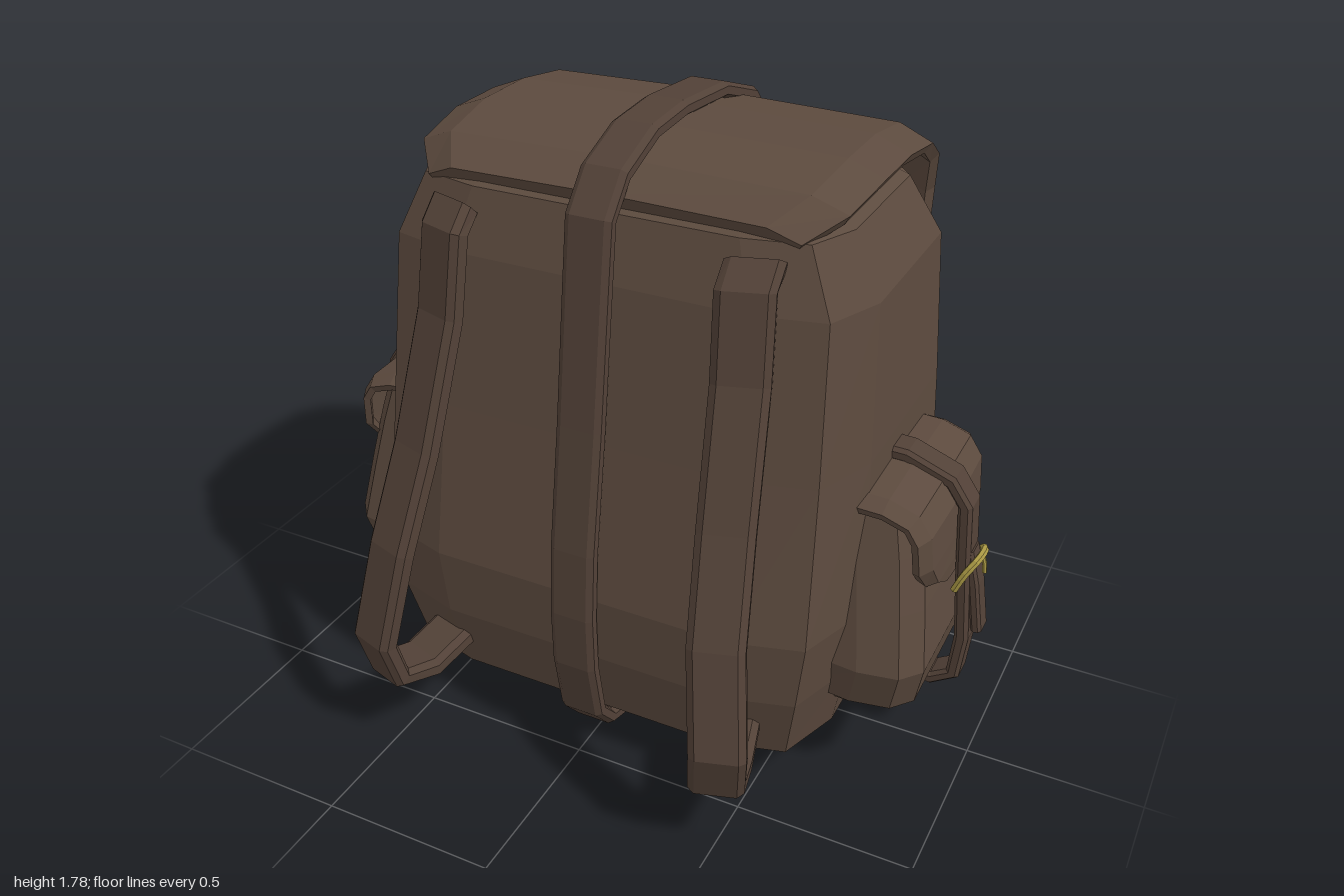
import * as THREE from 'three';

const canvas = new THREE.MeshStandardMaterial({ color: 0x5c4a3e });
canvas.name = 'brown canvas';
const leather = new THREE.MeshStandardMaterial({ color: 0x524137 });
leather.name = 'dark leather';
const brass = new THREE.MeshStandardMaterial({ color: 0xab9a45 });
brass.name = 'brass';

const V = (x, y, z) => new THREE.Vector3(x, y, z);

// Faceted skin through rings of equal point count, capped or joined into a loop
function loft(rings, closed = false) {
  const n = rings[0].length, m = rings.length;
  const pts = rings.flat();
  const tris = [];
  for (let i = 0; i < (closed ? m : m - 1); i++) {
    const a = i * n, b = ((i + 1) % m) * n;
    for (let j = 0; j < n; j++) {
      const k = (j + 1) % n;
      tris.push([a + j, a + k, b + k], [a + j, b + k, b + j]);
    }
  }
  if (!closed) {
    const e = (m - 1) * n;
    for (let j = 1; j < n - 1; j++) tris.push([0, j + 1, j], [e, e + j, e + j + 1]);
  }
  // Turn the skin outward whichever way the rings run
  const cross = V(0, 0, 0);
  let volume = 0;
  for (const [a, b, c] of tris) volume += pts[a].dot(cross.crossVectors(pts[b], pts[c]));
  const index = tris.flatMap(([a, b, c]) => (volume < 0 ? [a, c, b] : [a, b, c]));
  const indexed = new THREE.BufferGeometry().setFromPoints(pts);
  indexed.setIndex(index);
  const geometry = indexed.toNonIndexed();
  geometry.computeVertexNormals();
  return geometry;
}

// Carry a [sideways, outward] profile along a path; outward points away from centre
function sweep(path, side, centre, profile, closed = false) {
  const m = path.length;
  return loft(path.map((p, i) => {
    const prev = path[closed ? (i + m - 1) % m : Math.max(i - 1, 0)];
    const next = path[closed ? (i + 1) % m : Math.min(i + 1, m - 1)];
    const out = next.clone().sub(prev).cross(side).normalize();
    if (out.dot(p.clone().sub(centre)) < 0) out.negate();
    return profile(i).map(([s, o]) => p.clone().addScaledVector(side, s).addScaledVector(out, o));
  }), closed);
}

// Flat strap with bevelled edges
const band = (w, t) => () => [
  [-w, -t / 4], [-w * 0.75, -t / 2], [w * 0.75, -t / 2], [w, -t / 4],
  [w, t / 4], [w * 0.75, t / 2], [-w * 0.75, t / 2], [-w, t / 4],
];

// Thin flap whose side edges turn down
const flapProfile = (widths, drop, t) => (i) => {
  const w = widths[i], f = w * 0.84;
  return [[-w, -drop], [-f, -drop * 0.2], [0, 0], [f, -drop * 0.2], [w, -drop],
    [w * 0.97, -drop - t], [f, -t - drop * 0.2], [0, -t], [-f, -t - drop * 0.2], [-w * 0.97, -drop - t]];
};

function add(parent, name, geometry, material) {
  const mesh = new THREE.Mesh(geometry, material);
  mesh.name = name;
  parent.add(mesh);
  return mesh;
}

// Arched buckle with a short prong
function addBuckle(parent, name, points, prong, radius) {
  const g = new THREE.Group();
  g.name = name;
  const tube = (pts, steps, r) => {
    const geo = new THREE.TubeGeometry(new THREE.CatmullRomCurve3(pts), steps, r, 6).toNonIndexed();
    geo.computeVertexNormals();
    return geo;
  };
  add(g, 'buckleArch', tube(points, 14, radius), brass);
  add(g, 'bucklePin', tube(prong, 2, radius * 0.6), brass);
  parent.add(g);
}

export function createModel() {
  const group = new THREE.Group();
  group.name = 'backpack';
  const X = V(1, 0, 0), Z = V(0, 0, 1);
  const middle = V(0, 0.9, -0.08);

  // Main sack: [y, half width, front z, back z]
  const sack = [
    [0.06, 0.42, 0.33, -0.48], [0.14, 0.65, 0.43, -0.6], [0.35, 0.69, 0.48, -0.65],
    [0.55, 0.715, 0.49, -0.66], [1.0, 0.7, 0.42, -0.6], [1.43, 0.68, 0.36, -0.54],
    [1.6, 0.6, 0.31, -0.44], [1.65, 0.5, 0.2, -0.36],
  ].map(([y, w, f, b]) => {
    const d = f - b;
    const half = [[0.62, f], [0.9, f - 0.05 * d], [1, f - 0.23 * d],
      [1, b + 0.23 * d], [0.79, b + 0.03 * d], [0.42, b]];
    return [...half.map(([k, z]) => V(w * k, y, z)),
      ...half.slice().reverse().map(([k, z]) => V(-w * k, y, z))];
  });
  add(group, 'mainSack', loft(sack), canvas);

  // Lid flap over the top and down the back: [z, y, half width]
  const lid = [
    [0.31, 1.645, 0.52], [0.2, 1.7, 0.6], [0, 1.73, 0.62], [-0.2, 1.73, 0.62], [-0.4, 1.7, 0.62],
    [-0.53, 1.62, 0.61], [-0.6, 1.48, 0.59], [-0.62, 1.3, 0.58], [-0.628, 1.15, 0.56],
    [-0.632, 1.06, 0.5], [-0.634, 1.0, 0.36], [-0.636, 0.95, 0.16],
  ];
  add(group, 'lidFlap', sweep(lid.map(([z, y]) => V(0, y, z)), X, middle,
    flapProfile(lid.map((r) => r[2]), 0.05, 0.03)), canvas);

  // Strap right around the sack: [z, y]
  const girth = [
    [0.3, 0.045], [0.1, 0.028], [-0.28, 0.028], [-0.48, 0.065], [-0.6, 0.18], [-0.655, 0.36],
    [-0.675, 0.55], [-0.66, 0.8], [-0.65, 1.1], [-0.64, 1.42], [-0.595, 1.57], [-0.5, 1.67],
    [-0.3, 1.74], [-0.05, 1.76], [0.12, 1.75], [0.28, 1.69], [0.36, 1.6], [0.385, 1.42],
    [0.435, 1.05], [0.49, 0.7], [0.505, 0.5], [0.5, 0.33], [0.465, 0.15], [0.4, 0.075],
  ].map(([z, y]) => V(0, y, z));
  add(group, 'girthStrap', sweep(girth, X, middle, band(0.065, 0.045), true), leather);

  // Loose end and buckle on the back
  const tail = [[-0.665, 1.04], [-0.69, 0.95], [-0.71, 0.85], [-0.715, 0.74]].map(([z, y]) => V(0, y, z));
  add(group, 'girthStrapEnd', sweep(tail, X, middle, band(0.05, 0.04)), leather);
  addBuckle(group, 'backBuckle', [
    V(-0.09, 0.88, -0.615), V(-0.088, 0.97, -0.645), V(-0.055, 1.045, -0.675), V(0, 1.055, -0.68),
    V(0.055, 1.045, -0.675), V(0.088, 0.97, -0.645), V(0.09, 0.88, -0.615),
  ], [V(0, 1.05, -0.685), V(0, 1.01, -0.7), V(0, 0.96, -0.705)], 0.015);

  for (const s of [1, -1]) {
    const sideName = s > 0 ? 'left' : 'right';
    const sideGroup = new THREE.Group();
    sideGroup.name = sideName + 'Side';
    group.add(sideGroup);
    const pocketMiddle = V(s * 0.7, 0.55, -0.03);

    // Side pocket: [y, outer x, front z, back z]
    const pocket = [
      [0.23, 0.8, 0.2, -0.26], [0.3, 0.88, 0.28, -0.35], [0.43, 0.905, 0.31, -0.38],
      [0.6, 0.88, 0.27, -0.33], [0.75, 0.855, 0.235, -0.3], [0.86, 0.83, 0.21, -0.28],
      [0.9, 0.74, 0.16, -0.22],
    ].map(([y, x, f, b]) => [
      [0.55, f - 0.02], [x - 0.16, f], [x - 0.05, f - 0.02], [x, f - 0.08],
      [x, b + 0.08], [x - 0.05, b + 0.02], [x - 0.16, b], [0.55, b + 0.02],
    ].map(([px, z]) => V(s * px, y, z)));
    add(sideGroup, 'sidePocket', loft(pocket), canvas);

    // Pocket flap: [x, y, half width]
    const flap = [[0.62, 0.925, 0.27], [0.76, 0.92, 0.27], [0.845, 0.89, 0.27], [0.885, 0.83, 0.27],
      [0.895, 0.73, 0.26], [0.9, 0.66, 0.2], [0.902, 0.61, 0.1]];
    add(sideGroup, 'pocketFlap', sweep(flap.map(([x, y]) => V(s * x, y, -0.03)), Z, pocketMiddle,
      flapProfile(flap.map((r) => r[2]), 0.03, 0.02)), canvas);

    // Pocket strap, loose end and buckle
    const strap = [[0.62, 0.935], [0.74, 0.932], [0.865, 0.885], [0.91, 0.82], [0.925, 0.6],
      [0.942, 0.4], [0.93, 0.27], [0.87, 0.232], [0.62, 0.255]].map(([x, y]) => V(s * x, y, -0.03));
    add(sideGroup, 'pocketStrap', sweep(strap, Z, pocketMiddle, band(0.046, 0.04)), leather);
    const end = [[0.93, 0.68], [0.955, 0.58], [0.978, 0.43]].map(([x, y]) => V(s * x, y, -0.03));
    add(sideGroup, 'pocketStrapEnd', sweep(end, Z, pocketMiddle, band(0.035, 0.03)), leather);
    const arch = [[0.912, 0.57, -0.06], [0.935, 0.625, -0.058], [0.96, 0.665, -0.035], [0.965, 0.67, 0],
      [0.96, 0.665, 0.035], [0.935, 0.625, 0.058], [0.912, 0.57, 0.06]];
    addBuckle(sideGroup, 'pocketBuckle', arch.map(([x, y, z]) => V(s * x, y, z - 0.03)),
      [V(s * 0.965, 0.665, -0.03), V(s * 0.972, 0.64, -0.03), V(s * 0.975, 0.61, -0.03)], 0.011);

    // Shoulder strap, splayed outward and hooking back in at the foot
    const shoulder = [
      [0.42, 1.55, 0.32], [0.42, 1.5, 0.375], [0.43, 1.27, 0.41], [0.455, 0.92, 0.53], [0.485, 0.65, 0.64],
      [0.525, 0.37, 0.705], [0.51, 0.245, 0.675], [0.48, 0.21, 0.56], [0.445, 0.25, 0.42],
    ].map(([x, y, z]) => V(s * x, y, z));
    const across = V(0.95, 0, -0.3 * s).normalize();
    add(sideGroup, 'shoulderStrap', sweep(shoulder, across, V(s * 0.45, 0.7, 0.3), band(0.075, 0.06)), leather);
  }
  return group;
}
